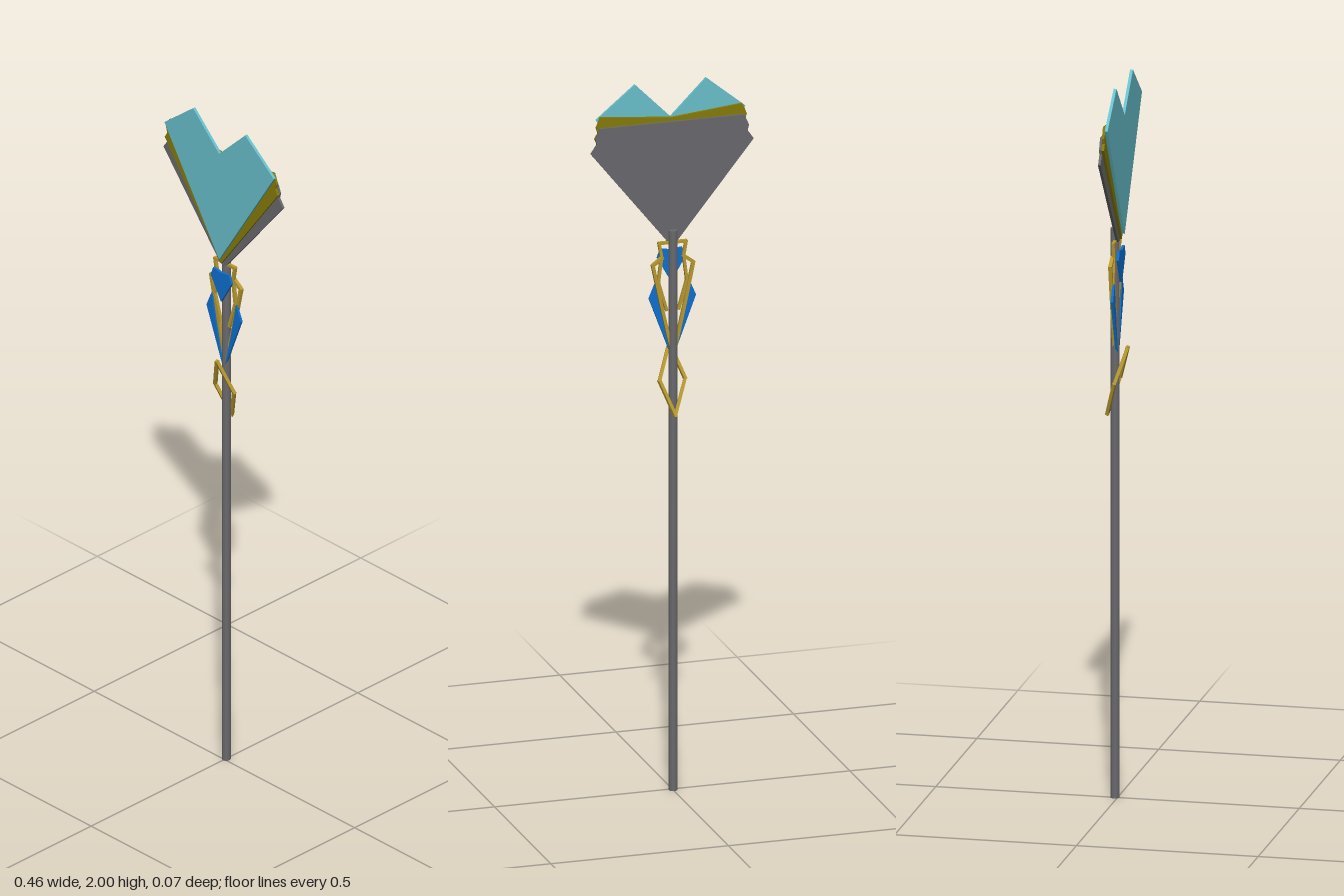
import * as THREE from 'three';

const paint = (color) => {
  const m = new THREE.MeshStandardMaterial({ color });
  m.flatShading = true;
  return m;
};
const GREY = paint(0x69696d), OLIVE = paint(0x857c08), GOLD = paint(0xb89a30);
const CYAN = paint(0x68c0cc), BLUE = paint(0x0f70d0);

function add(parent, name, geometry, material) {
  const mesh = new THREE.Mesh(geometry, material);
  mesh.name = name;
  parent.add(mesh);
  return mesh;
}

// Flat plate extruded between two depths
function plate(parent, name, points, z0, z1, material) {
  const shape = new THREE.Shape(points.map(([x, y]) => new THREE.Vector2(x, y)));
  const geo = new THREE.ExtrudeGeometry(shape, { depth: z1 - z0, bevelEnabled: false });
  geo.translate(0, 0, z0);
  return add(parent, name, geo, material);
}

// Symmetric outline: points run up the left side (+x) from the bottom tip to the centre
function mirrored(half) {
  const other = half.filter(([x]) => x > 0).reverse().map(([x, y]) => [-x, y]);
  return [...half, ...other];
}

// Chain of thin square bars through a list of points
function bars(parent, name, points, width, depth) {
  const group = new THREE.Group();
  group.name = name;
  const up = new THREE.Vector3(0, 1, 0);
  for (let i = 0; i + 1 < points.length; i++) {
    const a = new THREE.Vector3(...points[i]), b = new THREE.Vector3(...points[i + 1]);
    const dir = b.clone().sub(a);
    const bar = add(group, 'bar', new THREE.BoxGeometry(width, dir.length() + width * 0.6, depth), GOLD);
    bar.position.copy(a).add(b).multiplyScalar(0.5);
    bar.quaternion.setFromUnitVectors(up, dir.normalize());
  }
  parent.add(group);
}

export function createModel() {
  const model = new THREE.Group();
  model.name = 'staff';

  // Long pole
  const pole = add(model, 'pole', new THREE.CylinderGeometry(0.0125, 0.0125, 1.585, 12), GREY);
  pole.position.set(0, 0.7925, -0.007);

  // Three stacked plates of the heart-shaped head
  const head = new THREE.Group();
  head.name = 'head';
  model.add(head);
  plate(head, 'backPlate', mirrored([[0, 1.545], [0.012, 1.55], [0.229, 1.82], [0.212, 1.845],
    [0.216, 1.86], [0.203, 1.89], [0, 1.89]]), -0.002, 0.005, GREY);
  plate(head, 'middlePlate', mirrored([[0, 1.555], [0.217, 1.858], [0.207, 1.875],
    [0.212, 1.89], [0.2, 1.92], [0, 1.9]]), 0.005, 0.012, OLIVE);
  plate(head, 'frontPlate', mirrored([[0, 1.57], [0.21, 1.91], [0.1, 2.0], [0, 1.9]]), 0.012, 0.02, CYAN);

  // Blue gem below the head
  plate(model, 'gem', mirrored([[0, 1.435], [0.04, 1.505], [0.03, 1.53], [0, 1.525]]), 0.006, 0.013, BLUE);

  for (const s of [1, -1]) {
    const flip = (pts) => pts.map(([x, y, z]) => [s * x, y, z]);
    const side = new THREE.Group();
    side.name = s > 0 ? 'leftWing' : 'rightWing';
    model.add(side);

    // Blue blade
    plate(side, 'blade', flip([[0.006, 1.235], [0.066, 1.395], [0.047, 1.44], [0.034, 1.37]]), -0.004, 0.003, BLUE);

    // Gold frame around the blade
    bars(side, 'frame', flip([[0.03, 1.51, -0.007], [0.057, 1.49, -0.007], [0.034, 1.38, -0.007],
      [0.004, 1.245, -0.007]]), 0.009, 0.01);

    // Collar prong running down beside the pole
    bars(side, 'prong', flip([[0.01, 1.55, -0.003], [0.038, 1.55, -0.003], [0.031, 1.51, -0.003],
      [0.04, 1.44, -0.003], [0.017, 1.36, -0.003]]), 0.008, 0.009);

    // Half of the tilted diamond that encircles the pole
    bars(side, 'diamondHalf', flip([[0, 1.255, 0.028], [0.036, 1.16, -0.001], [0, 1.066, -0.028]]), 0.009, 0.009);
  }
  return model;
}
